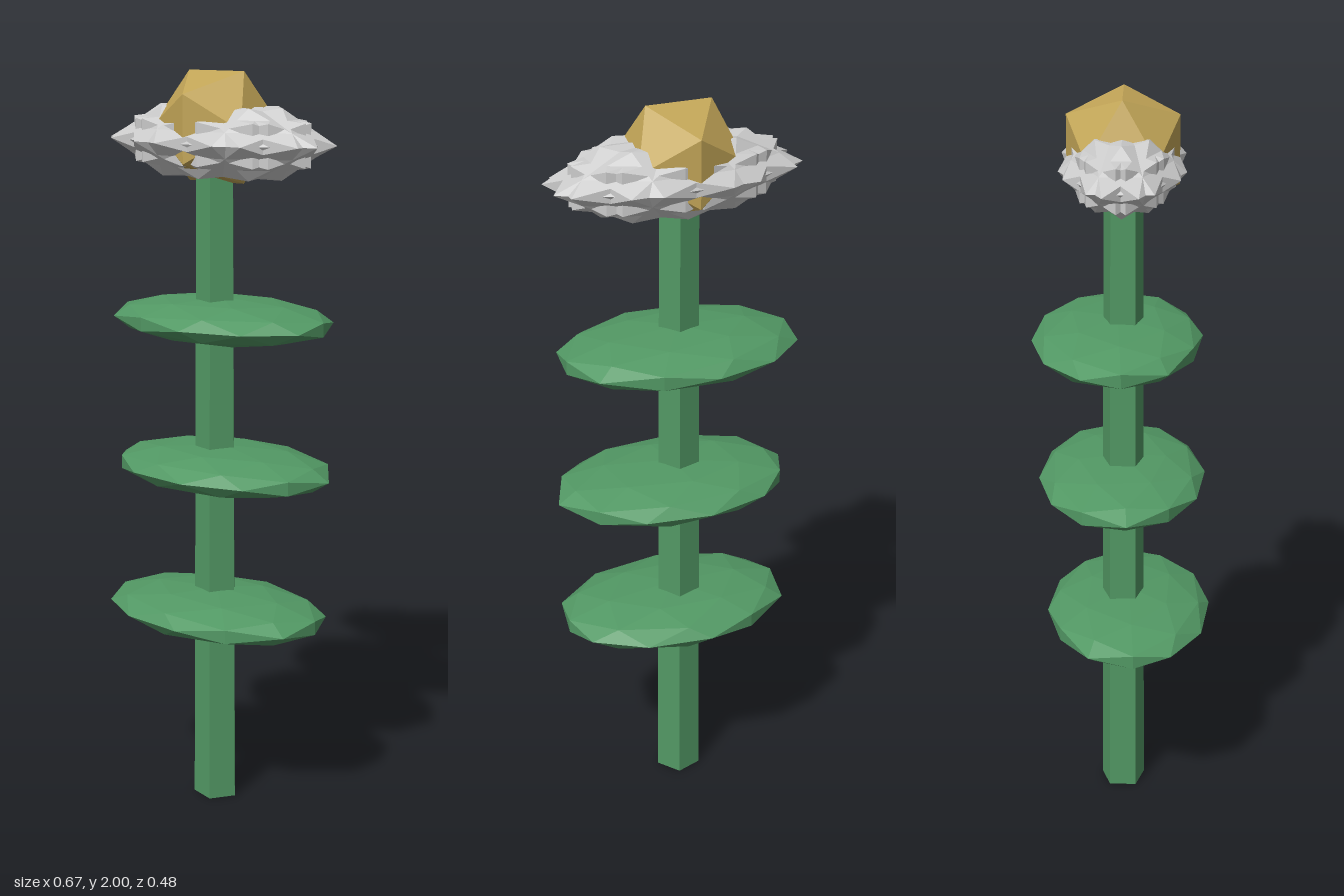
import * as THREE from 'three';

const mat = (color) => new THREE.MeshStandardMaterial({ color, flatShading: true });

export function createModel() {
  const model = new THREE.Group();
  model.name = 'flower';
  const green = mat(0x529864), gold = mat(0xc2a557), grey = mat(0xcccccc);

  const add = (name, geometry, material, x, y, z) => {
    const mesh = new THREE.Mesh(geometry, material);
    mesh.name = name;
    mesh.position.set(x, y, z);
    model.add(mesh);
    return mesh;
  };

  // Five-sided tapering stem, one corner towards +x
  const stemX = -0.012;
  add('stem', new THREE.CylinderGeometry(0.053, 0.063, 1.8, 5).rotateY(Math.PI / 2),
    green, stemX, 0.9, 0);

  // Flattened faceted leaves, each turned a little before being squashed
  const leaves = [
    { y: 0.55, x: 0, z: 0.015, turn: 1.1 },
    { y: 0.95, x: 0.01, z: -0.003, turn: 1.65 },
    { y: 1.35, x: -0.004, z: -0.015, turn: 2.2 },
  ];
  for (const { x, y, z, turn } of leaves) {
    const leaf = new THREE.IcosahedronGeometry(1, 1).rotateY(turn).scale(0.33, 0.06, 0.225);
    add('leaf', leaf, green, x, y, z);
  }

  // Ring of overlapping petals whose corners form a spiky oval collar
  const petalCount = 8, offset = 0.025;
  for (let i = 0; i < petalCount; i++) {
    const a = (i / petalCount) * Math.PI * 2;
    const petal = new THREE.IcosahedronGeometry(0.325, 0)
      .translate(offset, 0, 0)
      .rotateY(a)
      .scale(1, 0.33, 0.48);
    add('petal', petal, grey, 0, 1.82, 0);
  }

  // Faceted flower centre
  add('flowerCentre', new THREE.IcosahedronGeometry(0.168, 0), gold, stemX, 1.857, 0);

  return model;
}
